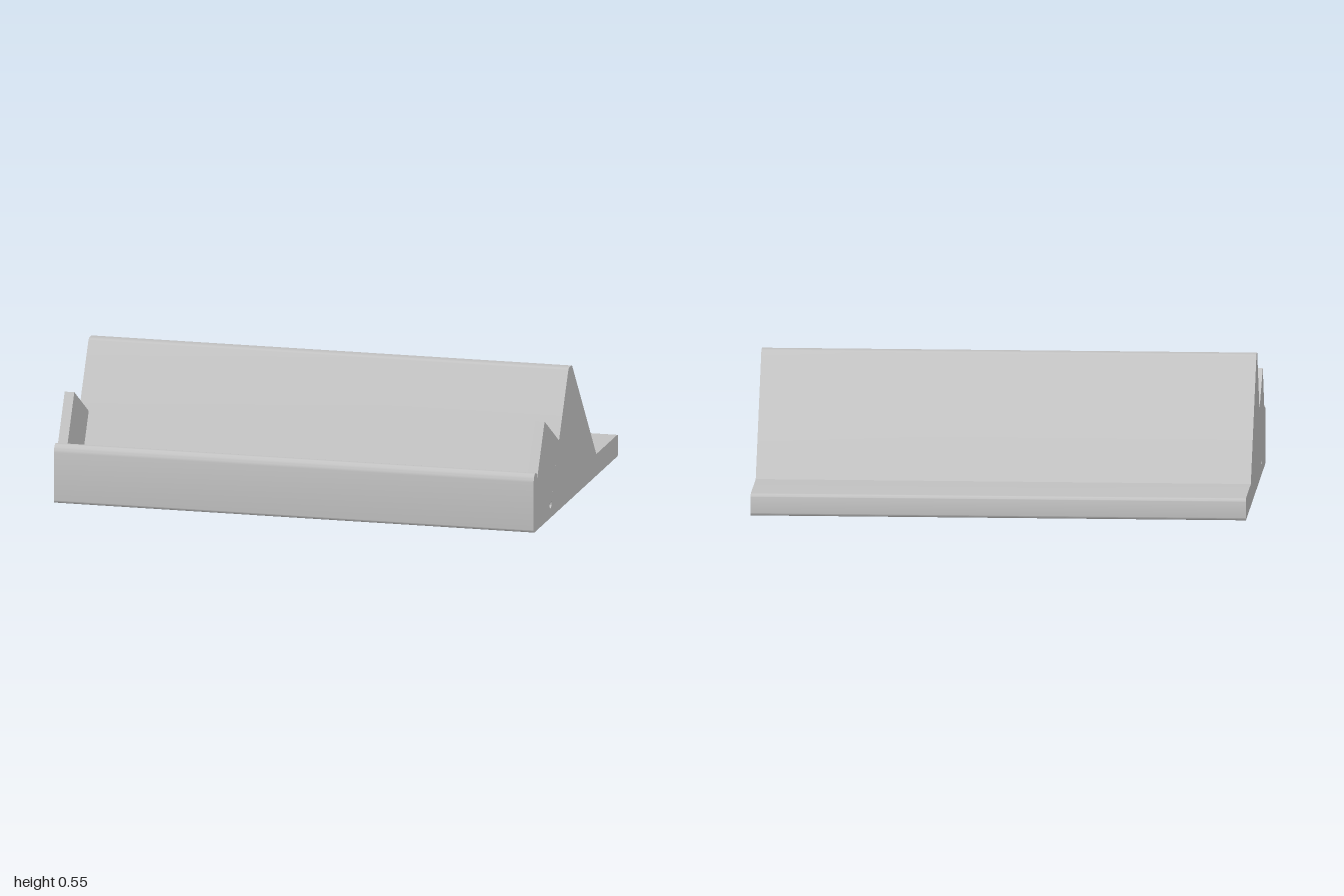
import * as THREE from 'three';
import { toCreasedNormals } from 'three/addons/utils/BufferGeometryUtils.js';

const HALF = 1;      // half length along x
const CHEEK = 0.04;  // thickness of the end stops

// Extrudes a (z, y) profile along x, from x0 to x1
function extrudeAlongX(shape, x0, x1) {
  const geometry = new THREE.ExtrudeGeometry(shape, { depth: x1 - x0, bevelEnabled: false, curveSegments: 10 });
  geometry.rotateY(-Math.PI / 2);
  geometry.translate(x1, 0, 0);
  return toCreasedNormals(geometry, 0.5);
}

export function createModel() {
  const group = new THREE.Group();
  group.name = 'stand';
  const grey = new THREE.MeshStandardMaterial({ color: 0xc0c0c0 });
  grey.name = 'grey plastic';

  // Body: flat rear plate, ridge, tilted slot with a round relief in its corner, front lip
  const corner = [0.405, 0.055];
  const body = new THREE.Shape();
  body.moveTo(-0.66, 0);
  body.lineTo(0.66, 0);
  body.quadraticCurveTo(0.675, 0, 0.675, 0.015);
  body.lineTo(0.675, 0.21);
  body.bezierCurveTo(0.673, 0.228, 0.66, 0.243, 0.645, 0.243);
  body.bezierCurveTo(0.632, 0.243, 0.622, 0.234, 0.617, 0.217);
  body.lineTo(0.634, 0.187);
  body.absarc(corner[0], corner[1], 0.016, Math.PI / 6, Math.PI * 2 / 3, true);
  body.lineTo(0.124, 0.541);
  body.quadraticCurveTo(0.117, 0.553, 0.103, 0.553);
  body.lineTo(0.075, 0.553);
  body.quadraticCurveTo(0.063, 0.553, 0.054, 0.542);
  body.lineTo(-0.325, 0.09);
  body.lineTo(-0.655, 0.09);
  body.quadraticCurveTo(-0.675, 0.09, -0.675, 0.07);
  body.lineTo(-0.675, 0.015);
  body.quadraticCurveTo(-0.675, 0, -0.66, 0);
  const bodyMesh = new THREE.Mesh(extrudeAlongX(body, -HALF, HALF), grey);
  bodyMesh.name = 'body';
  group.add(bodyMesh);

  // End stops closing the slot on both sides
  const cheek = new THREE.Shape([
    new THREE.Vector2(...corner),
    new THREE.Vector2(0.634, 0.187),
    new THREE.Vector2(0.5, 0.422),
    new THREE.Vector2(0.27, 0.289),
  ]);
  for (const [name, x0] of [['leftEndStop', HALF - CHEEK], ['rightEndStop', -HALF]]) {
    const mesh = new THREE.Mesh(extrudeAlongX(cheek, x0, x0 + CHEEK), grey);
    mesh.name = name;
    group.add(mesh);
  }
  return group;
}
